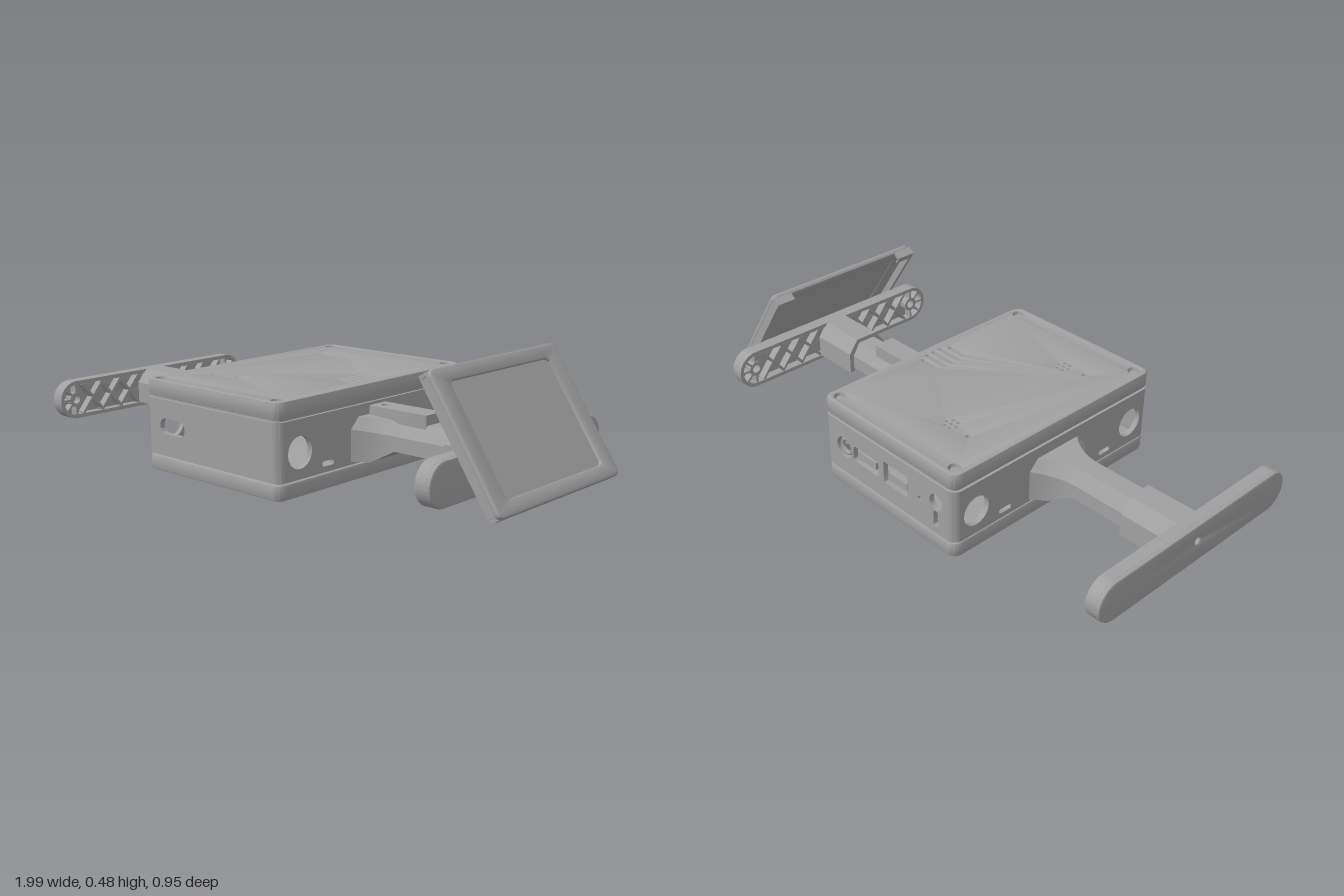
import * as THREE from 'three';
import { toCreasedNormals } from 'three/addons/utils/BufferGeometryUtils.js';

const grey = new THREE.MeshStandardMaterial({ color: 0xa0a0a0 });
grey.name = 'grey plastic';

function add(parent, name, geo, x = 0, y = 0, z = 0) {
  const m = new THREE.Mesh(geo, grey);
  m.name = name;
  m.position.set(x, y, z);
  parent.add(m);
  return m;
}
function group(parent, name, x = 0, y = 0, z = 0) {
  const g = new THREE.Group();
  g.name = name;
  g.position.set(x, y, z);
  parent.add(g);
  return g;
}
const box = (w, h, d) => new THREE.BoxGeometry(w, h, d);

// Rounded rectangle outline centred on (cx, cy); r = half height gives a pill
function rrect(cx, cy, hw, hh, r, Type = THREE.Shape) {
  const s = new Type();
  s.absarc(cx + hw - r, cy + hh - r, r, 0, Math.PI / 2);
  s.absarc(cx - hw + r, cy + hh - r, r, Math.PI / 2, Math.PI);
  s.absarc(cx - hw + r, cy - hh + r, r, Math.PI, Math.PI * 1.5);
  s.absarc(cx + hw - r, cy - hh + r, r, Math.PI * 1.5, Math.PI * 2);
  s.closePath();
  return s;
}
const hole = (...a) => rrect(...a, THREE.Path);
const round = (x, y, r) => new THREE.Path().absarc(x, y, r, 0, Math.PI * 2, true);
const poly = pts => new THREE.Shape(pts.map(p => new THREE.Vector2(...p)));

// Extrusion from z = 0 to z = depth, bevel kept inside the outline
function slab(shape, depth, bevel = 0, holes = []) {
  shape.holes.push(...holes);
  const g = new THREE.ExtrudeGeometry(shape, {
    depth: depth - 2 * bevel, bevelEnabled: bevel > 0, bevelSize: bevel, bevelThickness: bevel,
    bevelOffset: -bevel, bevelSegments: 2, curveSegments: 10,
  });
  g.translate(0, 0, bevel);
  return toCreasedNormals(g, 0.6);
}
const flatOn = g => g.rotateX(-Math.PI / 2);  // extrude upwards
const sideOn = g => g.rotateY(Math.PI / 2);   // extrude towards +x

// Hollow channel along x, open below; station = [x, halfWidth, topHalf, bottom, shoulder, top]
function channel(stations, t) {
  const ring = ([x, w, tw, b, s, top]) => [
    [w, b], [w, s], [tw, top], [-tw, top], [-w, s], [-w, b],
    [-w + t, b], [-w + t, s - t / 3], [-tw + t / 2, top - t], [tw - t / 2, top - t], [w - t, s - t / 3], [w - t, b],
  ].map(([z, y]) => [x, y, z]);
  const rings = stations.map(ring), pos = [];
  const quad = (a, b, c, d) => pos.push(...a, ...b, ...c, ...a, ...c, ...d);
  for (let i = 0; i < rings.length - 1; i++)
    for (let j = 0; j < 12; j++) {
      const k = (j + 1) % 12;
      quad(rings[i][j], rings[i + 1][j], rings[i + 1][k], rings[i][k]);
    }
  const a = rings[0], e = rings[rings.length - 1];
  for (let j = 0; j < 5; j++) {
    quad(a[j], a[j + 1], a[10 - j], a[11 - j]);
    quad(e[11 - j], e[10 - j], e[j + 1], e[j]);
  }
  const g = new THREE.BufferGeometry();
  g.setAttribute('position', new THREE.Float32BufferAttribute(pos, 3));
  g.computeVertexNormals();
  return toCreasedNormals(g, 0.4);
}

const HX = 0.3275, HZ = 0.4725, R = 0.035;

function buildCase(root) {
  const body = group(root, 'case', -0.0825);
  const screws = [];
  for (const x of [-0.285, 0.285]) for (const y of [-0.43, 0.43]) screws.push([x, y]);

  // lid with screw wells, vents and dot clusters
  const lidHoles = screws.map(([x, y]) => round(x, y, 0.02));
  [0.045, 0.06, 0.062, 0.06, 0.045].forEach((w, i) =>
    lidHoles.push(hole(0.2375, (i - 2) * 0.033, w - 0.006, 0.004, 0.004)));
  for (const s of [-1, 1]) {
    lidHoles.push(round(-0.1875, s * 0.28, 0.006), round(-0.1, s * 0.27, 0.003));
    for (let i = 0; i < 6; i++) {
      const a = i * Math.PI / 3;
      lidHoles.push(round(-0.1 + 0.023 * Math.cos(a), s * 0.27 + 0.023 * Math.sin(a), 0.003));
    }
  }
  add(body, 'lid', flatOn(slab(rrect(0, 0, HX, HZ, R), 0.06, 0.008, lidHoles)), 0, 0.271);
  for (const [x, z] of screws)
    add(body, 'screw', new THREE.CylinderGeometry(0.015, 0.015, 0.045, 16), x, 0.298, z);

  // base with two mounting holes
  add(body, 'base', flatOn(slab(rrect(0, 0, HX, HZ, R), 0.056, 0.01,
    [round(0, 0.43, 0.012), round(0, -0.43, 0.012)])), 0, 0.006);

  // set-back rings in the two seams
  for (const y of [0.058, 0.26])
    add(body, 'seamRing', flatOn(slab(rrect(0, 0, HX - 0.01, HZ - 0.01, R - 0.01), 0.014, 0,
      [hole(0, 0, HX - 0.02, HZ - 0.02, R - 0.02)])), 0, y);

  // walls with port openings
  const wall = (name, half, dist, angle, holes) => {
    const g = group(body, name);
    g.rotation.y = angle;
    const w = half - R;
    add(g, name + 'Panel', slab(poly([[-w, 0.067], [w, 0.067], [w, 0.265], [-w, 0.265]]), 0.02, 0, holes), 0, 0, dist - 0.02);
    return g;
  };
  const sideHoles = () => [-1, 1].flatMap(s => [round(s * 0.375, 0.155, 0.055), hole(s * 0.245, 0.095, 0.028, 0.009, 0.008)]);
  wall('frontWall', HX, HZ, 0, [hole(-0.1875, 0.172, 0.064, 0.027, 0.026)]);
  wall('leftWall', HZ, HX, Math.PI / 2, sideHoles());
  wall('rightWall', HZ, HX, -Math.PI / 2, sideHoles());
  const back = wall('backWall', HX, HZ, Math.PI, [
    round(-0.22, 0.17, 0.04), hole(-0.107, 0.17, 0.066, 0.03, 0.015), hole(0.045, 0.175, 0.06, 0.042, 0.004),
    round(0.165, 0.165, 0.009), round(0.242, 0.19, 0.03), hole(0.242, 0.125, 0.012, 0.03, 0.01),
  ]);
  // sockets behind the back openings
  add(back, 'roundSocket', new THREE.TorusGeometry(0.027, 0.008, 8, 20), -0.22, 0.17, HZ - 0.014);
  add(back, 'wideSocket', box(0.095, 0.028, 0.03), -0.107, 0.17, HZ - 0.02);
  add(back, 'networkSocket', box(0.09, 0.03, 0.03), 0.045, 0.16, HZ - 0.025);

  // rounded vertical corners
  for (let i = 0; i < 4; i++) {
    const a = i * Math.PI / 2, s = new THREE.Shape();
    s.absarc(0, 0, R, a, a + Math.PI / 2, false);
    s.absarc(0, 0, R - 0.02, a + Math.PI / 2, a, true);
    add(body, 'corner', flatOn(slab(s, 0.198)),
      (i === 0 || i === 3 ? 1 : -1) * (HX - R), 0.067, (i < 2 ? -1 : 1) * (HZ - R));
  }
}

// Arm, sleeve and foot pointing along +x from the case wall
function buildArm(root, name, x, turn) {
  const arm = group(root, name, x);
  arm.rotation.y = turn;
  const stations = [];
  for (const d of [0, 0.015, 0.03, 0.05, 0.075, 0.1, 0.13, 0.16, 0.35]) {
    const f = Math.max(0, 1 - d / 0.16) ** 2.4;
    const bottom = 0.075 + 0.045 * Math.min(1, Math.max(0, (d - 0.05) / 0.08));
    stations.push([d, 0.065 + 0.068 * f, 0.035 + 0.06 * f, bottom, 0.172 + 0.015 * f, 0.22 + 0.005 * f]);
  }
  add(arm, 'armBeam', channel(stations, 0.014));
  add(arm, 'armGusset', slab(poly([[0, 0.076], [0.05, 0.076], [0.13, 0.121], [0.13, 0.14], [0, 0.14]]), 0.12), 0, 0, -0.06);
  add(arm, 'sleeve', channel([[0.35, 0.083, 0.045, 0.105, 0.185, 0.235], [0.54, 0.083, 0.045, 0.105, 0.185, 0.235]], 0.02));

  // cross ribs under the arm and sleeve
  for (let i = 0; i < 5; i++) for (const s of [-1, 1])
    add(arm, 'armRib', box(0.125, 0.06, 0.01), 0.17 + i * 0.08, 0.155, 0).rotation.y = s * 0.9;

  // foot: closed plate outside, ribbed pocket inside
  const foot = group(arm, 'foot', 0.535, 0.1625);
  add(foot, 'footRim', sideOn(slab(rrect(0, 0, 0.457, 0.0725, 0.0725), 0.04, 0, [hole(0, 0, 0.443, 0.0585, 0.0585)])));
  add(foot, 'footPlate', sideOn(slab(rrect(0, 0, 0.457, 0.0725, 0.0725), 0.022, 0.008, [round(0, 0.01, 0.012)])), 0.033);
  for (const s of [-1, 1]) {
    for (let i = 0; i < 3; i++) for (const t of [-1, 1])
      add(foot, 'footRib', box(0.036, 0.01, 0.15), 0.02, 0, s * (0.13 + i * 0.088)).rotation.x = t * 0.88;
    add(foot, 'footBoss', sideOn(slab(rrect(0, 0, 0.028, 0.028, 0.028), 0.036, 0, [round(0, 0, 0.016)])), 0.002, 0, s * 0.385);
    for (let i = 0; i < 5; i++) {
      const a = (i - 2) * Math.PI / 4;
      add(foot, 'footSpoke', box(0.036, 0.008, 0.036), 0.02, 0.043 * Math.sin(a), s * (0.385 + 0.043 * Math.cos(a))).rotation.x = -s * a;
    }
  }
}

function buildDisplay(root) {
  // tongue on top of the arm
  add(root, 'mountTongue', flatOn(slab(rrect(0.3675, 0, 0.1225, 0.042, 0.004), 0.055, 0, [round(0.28, 0, 0.012)])), 0, 0.2);

  // wedge joining the foot to the display
  add(root, 'displayWedge', slab(poly([[0.83, 0.228], [0.83, 0.105], [0.925, 0.105]]), 0.17), 0, 0, -0.085);

  // tilted display: local +x is the viewing side
  const d = group(root, 'display', 0.838, 0.264);
  d.rotation.z = 0.59;
  add(d, 'bezel', sideOn(slab(rrect(0, 0, 0.328, 0.24, 0.02), 0.022, 0.007, [hole(0, 0, 0.26, 0.191, 0.02)])), 0.002);
  add(d, 'screen', box(0.008, 0.42, 0.56), 0.01);
  for (const s of [-1, 1]) {
    add(d, 'sideWall', box(0.034, 0.45, 0.014), -0.007, 0, s * 0.32);
    add(d, 'topHook', box(0.034, 0.012, 0.075), -0.007, 0.233, s * 0.288);
    add(d, 'hookLip', box(0.006, 0.03, 0.075), -0.021, 0.222, s * 0.288);
  }
  add(d, 'bottomWall', box(0.034, 0.014, 0.64), -0.007, -0.231, 0);
}

export function createModel() {
  const model = new THREE.Group();
  model.name = 'deviceWithDisplay';
  buildCase(model);
  buildArm(model, 'leftArm', 0.245, 0);
  buildArm(model, 'rightArm', -0.41, Math.PI);
  buildDisplay(model);
  model.rotation.x = 0.0115; // the device rests with a very slight tilt
  return model;
}
